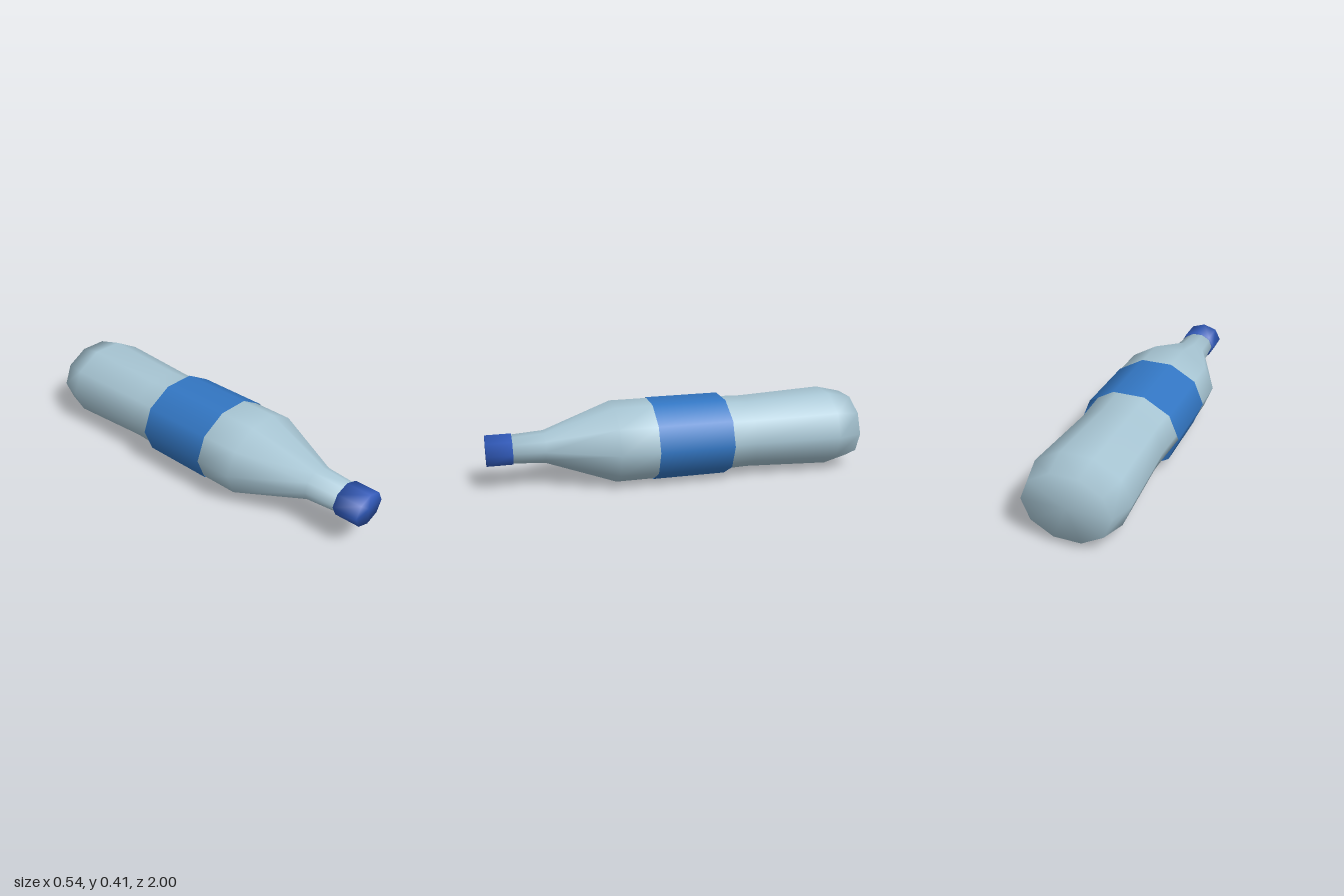
import * as THREE from 'three';

const CENTER_Y = 0.207;
const FLATTEN = 0.8; // height to width ratio of every cross-section

// Turns a [radius, z] profile (back to front) around the z axis, with a corner on +x.
function turned(name, profile, sides, color, open = false) {
  const points = profile.map(([r, z]) => new THREE.Vector2(r, z));
  const geometry = new THREE.LatheGeometry(points, sides, Math.PI / 2);
  geometry.rotateX(Math.PI / 2);
  geometry.scale(1, FLATTEN, 1);
  geometry.translate(0, CENTER_Y, 0);
  const material = new THREE.MeshStandardMaterial({ color });
  if (open) material.side = THREE.DoubleSide;
  const mesh = new THREE.Mesh(geometry, material);
  mesh.name = name;
  return mesh;
}

export function createModel() {
  const model = new THREE.Group();
  model.name = 'bottle';

  // Lying bottle: rounded base, slim waist, shoulder and neck
  model.add(turned('bottleBody', [
    [0, -1], [0.226, -1], [0.266, -0.865], [0.241, -0.4], [0.246, -0.265],
    [0.266, 0.135], [0.266, 0.335], [0.105, 0.7], [0.092, 0.87], [0, 0.87],
  ], 10, 0xa8c6d4));

  // Wrapped label, a thin open sleeve
  model.add(turned('label', [[0.271, -0.265], [0.271, 0.135]], 10, 0x3377c4, true));

  // Screw cap
  model.add(turned('cap', [[0, 0.865], [0.106, 0.865], [0.106, 1], [0, 1]], 8, 0x3059b8));

  return model;
}
